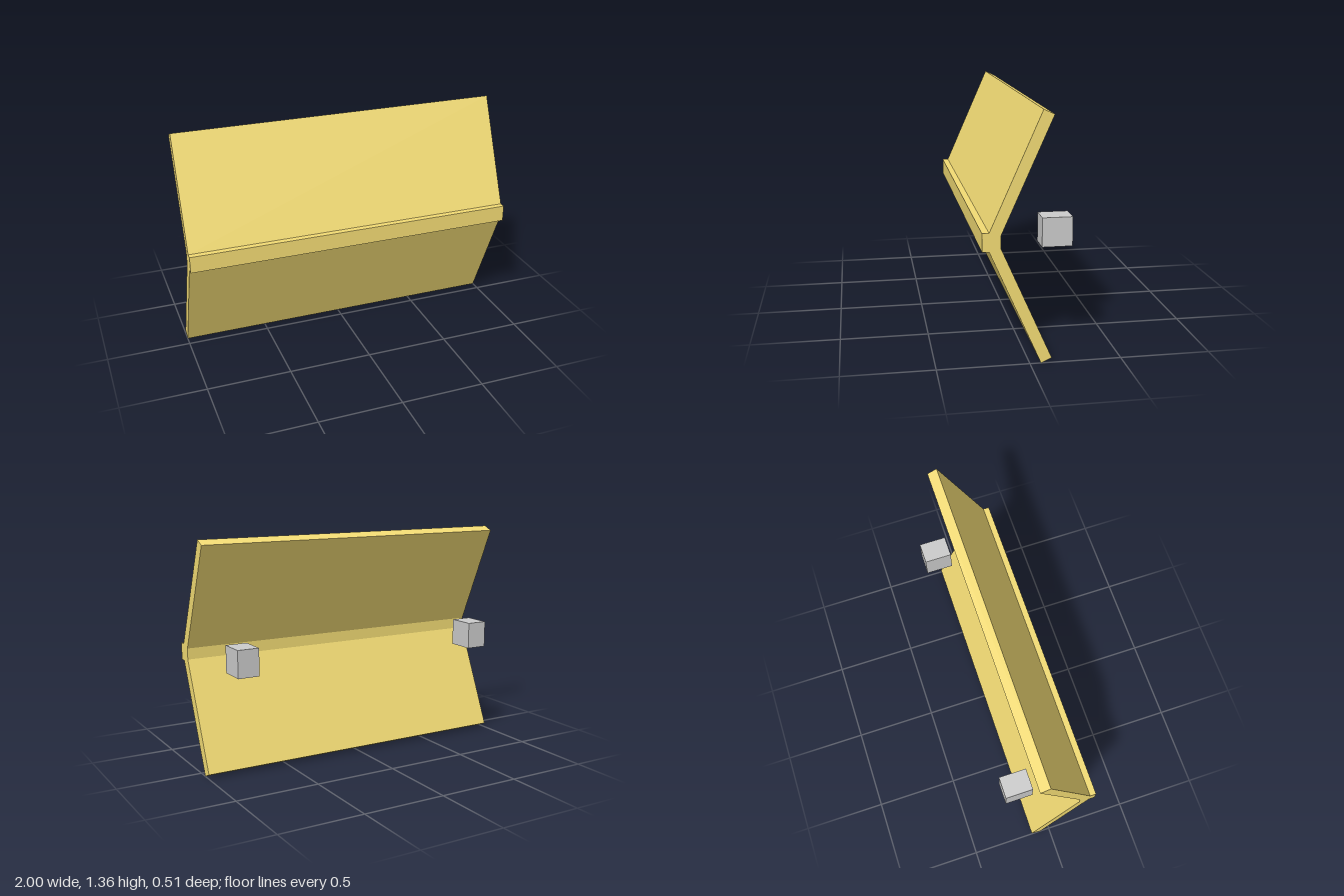
import * as THREE from 'three';

const MID = 0.68; // height of the fold, the mirror line of the profile

export function createModel() {
  const model = new THREE.Group();
  const yellow = new THREE.MeshStandardMaterial({ color: 0xf2db74, flatShading: true });
  const grey = new THREE.MeshStandardMaterial({ color: 0xcccccc, flatShading: true });

  // Folded panel with a square ridge along the fold: upper half of the
  // profile as (z, height above fold), mirrored for the lower half
  const upper = [[0.255, 0.05], [0.218, 0.05], [-0.06, 0.68], [-0.118, 0.654], [0.157, 0.033]];
  const lower = upper.map(([z, h]) => [z, -h]).reverse();
  const profile = new THREE.Shape([...upper, ...lower].map(([z, h]) => new THREE.Vector2(z, MID + h)));
  const panelGeometry = new THREE.ExtrudeGeometry(profile, { depth: 2, bevelEnabled: false });
  panelGeometry.translate(0, 0, -1).rotateY(-Math.PI / 2);
  const panel = new THREE.Mesh(panelGeometry, yellow);
  panel.name = 'foldedPanel';
  model.add(panel);

  // Pair of free blocks behind the panel
  for (const side of [-1, 1]) {
    const block = new THREE.Mesh(new THREE.BoxGeometry(0.13, 0.162, 0.167), grey);
    block.position.set(side * 0.799, 0.682, -0.1715);
    block.name = side > 0 ? 'leftBlock' : 'rightBlock';
    model.add(block);
  }
  return model;
}
